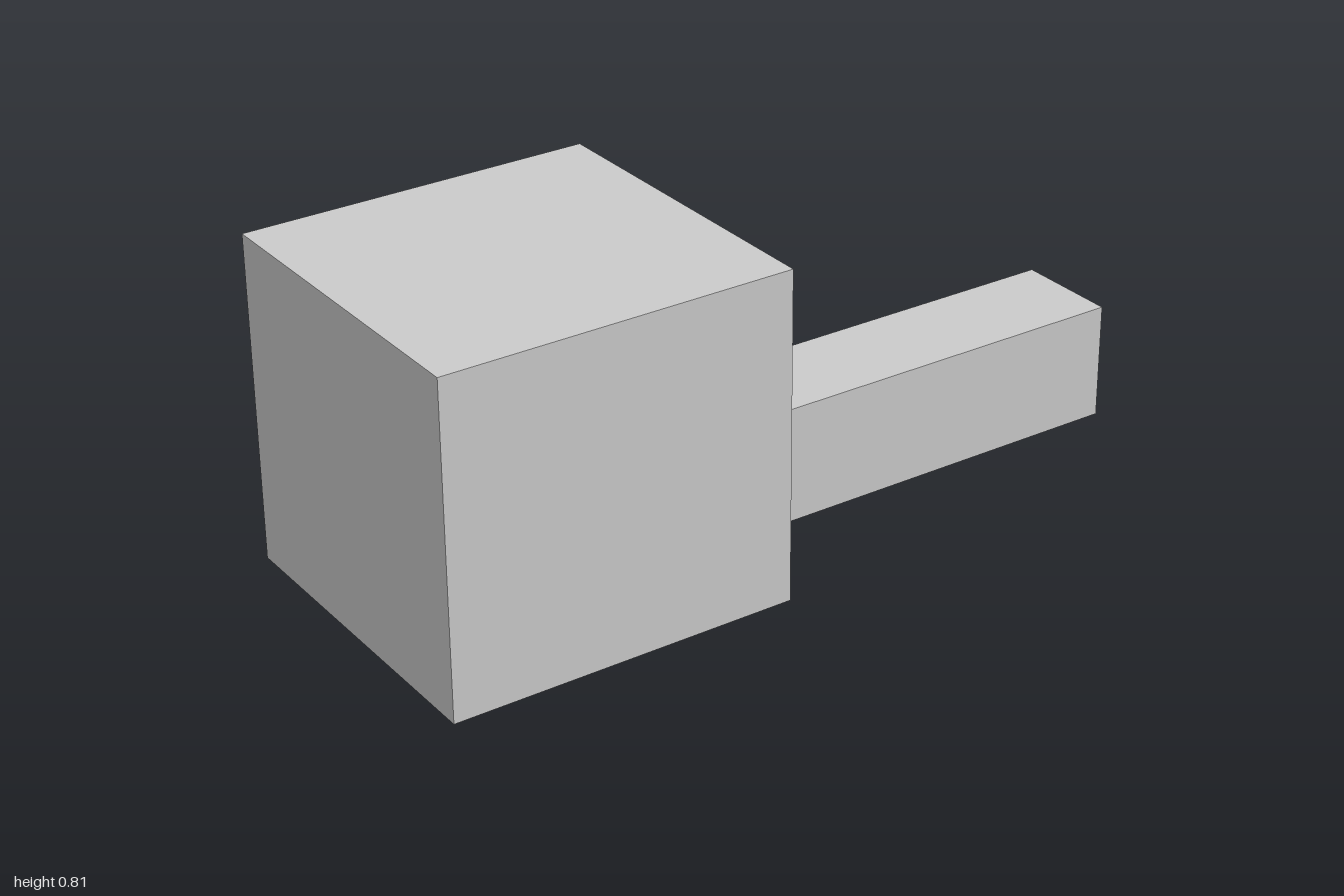
import * as THREE from 'three';

const grey = new THREE.MeshStandardMaterial({ color: 0xcccccc, side: THREE.DoubleSide });

function add(group, name, geometry) {
  const mesh = new THREE.Mesh(geometry, grey);
  mesh.name = name;
  group.add(mesh);
  return mesh;
}

// Box given by its lower and upper limits on each axis
function block(group, name, [x0, x1], [y0, y1], [z0, z1]) {
  const g = new THREE.BoxGeometry(x1 - x0, y1 - y0, z1 - z0);
  g.translate((x0 + x1) / 2, (y0 + y1) / 2, (z0 + z1) / 2);
  return add(group, name, g);
}

// Outline of [z, y] points pushed along x from x0 to x1
function sweep(group, name, points, x0, x1, hole) {
  const shape = new THREE.Shape(points.map(([z, y]) => new THREE.Vector2(-z, y)));
  if (hole) shape.holes.push(new THREE.Path(hole.map(([z, y]) => new THREE.Vector2(-z, y))));
  const g = new THREE.ExtrudeGeometry(shape, { depth: x1 - x0, bevelEnabled: false });
  g.rotateY(Math.PI / 2).translate(x0, 0, 0);
  return add(group, name, g);
}

const rect = (w, y0, y1) => [[-w, y0], [w, y0], [w, y1], [-w, y1]];

export function createModel() {
  const model = new THREE.Group();
  const T = 0.006;                              // wall thickness
  const X0 = -1, X1 = -0.14, X2 = 1;            // far wall, doorway, open end
  const D = 0.416, H = 0.808;                   // room half depth and height
  const W = 0.132, C = 0.292;                   // corridor half width and height

  // Room shell with a doorway in its right wall
  const room = new THREE.Group();
  room.name = 'room';
  model.add(room);
  block(room, 'roomFloor', [X0, X1], [0, T], [-D, D]);
  for (const s of [-1, 1]) {
    const z = [s * D, s * (D - T)].sort((a, b) => a - b);
    block(room, s > 0 ? 'roomFrontWall' : 'roomBackWall', [X0, X1], [0, H - 0.004], z);
  }
  block(room, 'roomEndWall', [X0, X0 + T], [0, H - 0.004], [-D, D]);
  sweep(room, 'doorwayWall', rect(D, 0, H - 0.002), X1 - T, X1, rect(W - T, T, C - T));

  // Roof dips slightly toward the far wall
  const roof = block(room, 'roomRoof', [X0, X1], [H - T, H], [-D, D]);
  const p = roof.geometry.attributes.position;
  for (let i = 0; i < p.count; i++) {
    if (p.getX(i) < -0.9) p.setY(i, p.getY(i) - 0.003);
  }
  roof.geometry.computeVertexNormals();

  // Corridor tube, open at its far end
  const corridor = new THREE.Group();
  corridor.name = 'corridor';
  model.add(corridor);
  sweep(corridor, 'corridorShell', rect(W, 0, C), X1, X2, rect(W - T, T, C - T));

  // Low ledges with sloping tops along both corridor walls
  for (const s of [-1, 1]) {
    const outline = [[s * (W - T), T], [s * 0.09, T], [s * 0.09, 0.08], [s * (W - T), 0.087]];
    sweep(corridor, s > 0 ? 'frontLedge' : 'backLedge', outline, X1 + 0.08, 0.92);
  }

  // Planked door in its frame at the room end
  const door = new THREE.Group();
  door.name = 'door';
  model.add(door);
  for (const s of [-1, 1]) {
    const z = [s * 0.108, s * (W - T)].sort((a, b) => a - b);
    block(door, 'doorPost', [X1 - T, X1 + 0.014], [T, C - T], z);
  }
  block(door, 'doorPanel', [X1 - T, X1], [T, C - T], [-0.108, 0.108]);
  const pitch = 0.0377;
  for (let y = T; y < 0.28; y += pitch) {
    const top = Math.min(y + pitch - 0.003, C - T);
    block(door, 'plank', [X1, X1 + 0.008], [y, top], [-0.107, 0.107]);
  }

  // Round handle and its latch
  const knob = add(door, 'knob', new THREE.SphereGeometry(0.014, 16, 12));
  knob.position.set(X1 + 0.03, 0.14, 0.108);
  block(door, 'latch', [X1 + 0.012, X1 + 0.022], [0.136, 0.144], [0.104, W - T]);

  return model;
}
